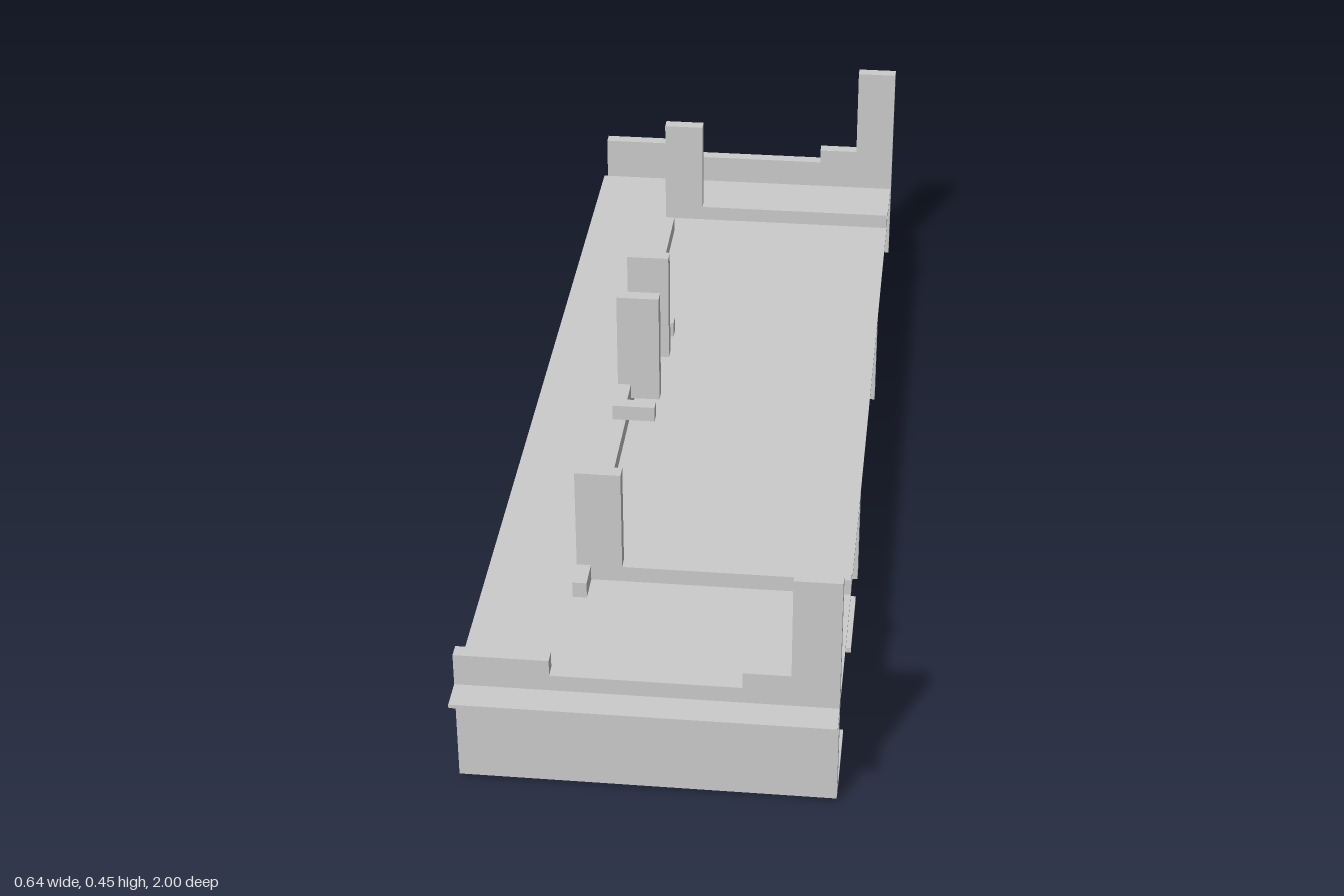
import * as THREE from 'three';

const T = 0.025; // board thickness

export function createModel() {
  const model = new THREE.Group();
  const material = new THREE.MeshStandardMaterial({ color: 0xcccccc, flatShading: true });

  // Box given by its lower and upper limits on each axis
  const box = (name, x0, x1, y0, y1, z0, z1) => {
    const mesh = new THREE.Mesh(new THREE.BoxGeometry(x1 - x0, y1 - y0, z1 - z0), material);
    mesh.position.set((x0 + x1) / 2, (y0 + y1) / 2, (z0 + z1) / 2);
    mesh.name = name;
    model.add(mesh);
  };

  // Deck sheet
  box('deck', -0.32, 0.32, 0.193, 0.2, -0.92, 1);

  // Stepped end panels, each with a tall post on the left
  const outline = new THREE.Shape([
    [-0.32, 0.01], [0.32, 0.01], [0.32, 0.45], [0.24, 0.45], [0.24, 0.26],
    [0.16, 0.26], [0.16, 0.23], [-0.16, 0.23], [-0.16, 0.26], [-0.32, 0.26],
  ].map(([x, y]) => new THREE.Vector2(x, y)));
  const panelGeometry = new THREE.ExtrudeGeometry(outline, { depth: T, bevelEnabled: false });
  for (const [name, z] of [['frontPanel', 0.92], ['backPanel', -1]]) {
    const panel = new THREE.Mesh(panelGeometry, material);
    panel.name = name;
    panel.position.z = z;
    model.add(panel);
  }

  // Cross walls under the deck
  for (const z of [0.285, -0.36]) box('crossWall', -0.32, 0.32, 0.01, 0.193, z, z + T);

  // Right side walls, one per bay, with gaps between the bays
  for (const [z0, z1] of [[0.36, 0.92], [-0.28, 0.285], [-0.92, -0.36]])
    box('rightWall', -0.32, -0.32 + T, 0.01, 0.193, z0, z1);

  // Left side walls, set in from the deck edge, with a slot in the front bay
  for (const [z0, z1] of [[0.685, 0.92], [0.31, 0.6], [-0.335, 0.285], [-0.92, -0.36]])
    box('leftWall', 0.24, 0.24 + T, 0.01, 0.193, z0, z1);

  // Thin foot pads: three at each end of every bay
  for (const [front, back, leftX] of [[0.92, 0.365, 0.24], [0.285, -0.28, 0.16], [-0.36, -0.92, 0.16]])
    for (const x of [-0.24, 0, leftX])
      for (const z of [front - 0.16, back]) box('footPad', x, x + 0.08, 0, 0.01, z, z + 0.16);

  // Long rail on the deck with a raised middle
  box('longRail', -0.16, -0.16 + T, 0.2, 0.23, -0.68, 0.68);
  box('raisedRail', -0.16, -0.16 + T, 0.23, 0.26, -0.12, 0.145);
  for (const z of [0.12, -0.2]) box('railBlock', -0.16, -0.08, 0.23, 0.26, z, z + T);
  for (const z of [0.04, -0.12]) box('middlePost', -0.16, -0.08, 0.23, 0.45, z, z + T);

  // Cross rails with a post at the right end
  for (const z of [0.6, -0.76]) {
    box('crossRail', -0.16, 0.32, 0.2, 0.23, z, z + T);
    box('endPost', -0.16, -0.08, 0.23, 0.42, z, z + T);
  }
  return model;
}
